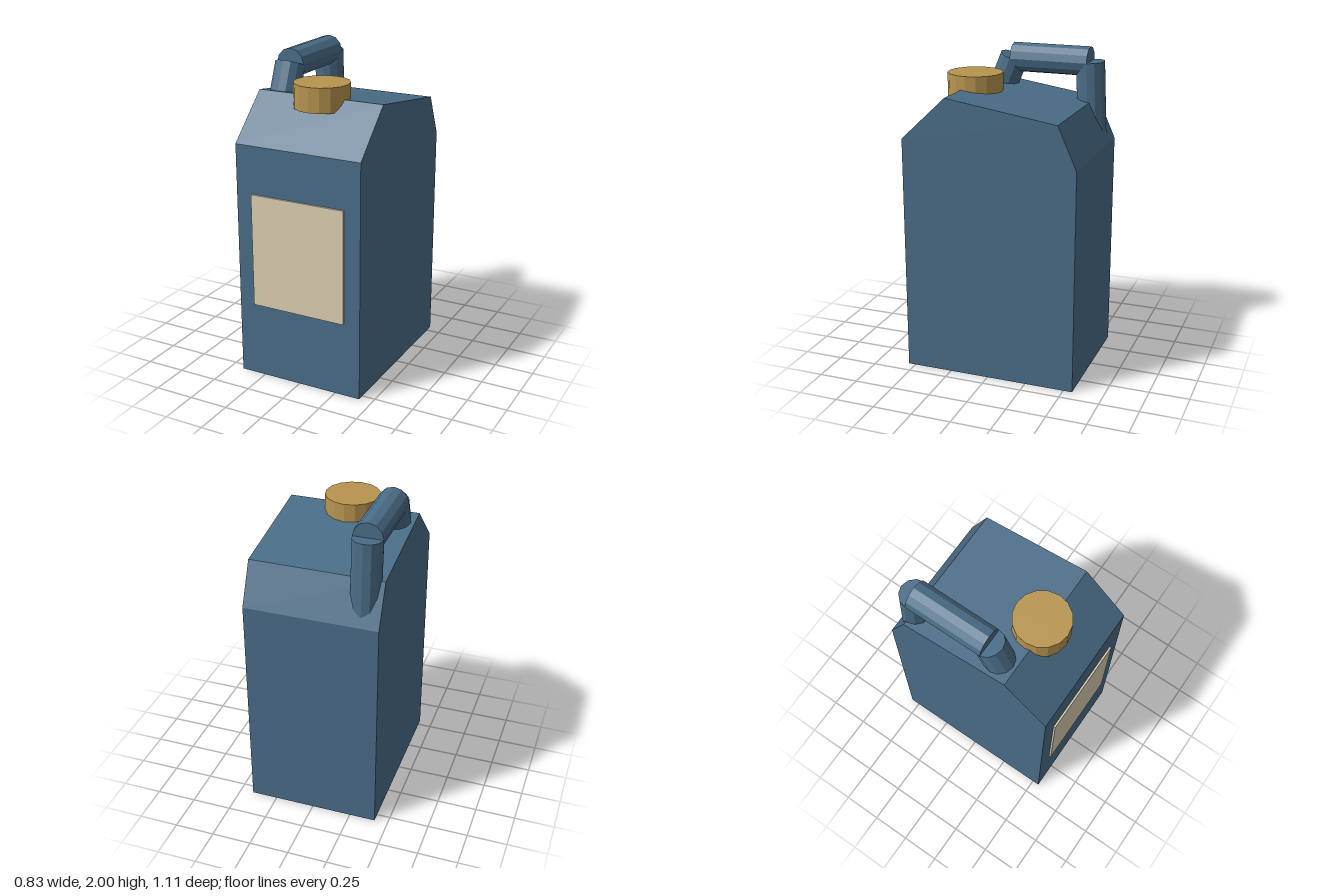
import * as THREE from 'three';

export function createModel() {
  const group = new THREE.Group();
  group.name = 'jerryCan';

  const mat = (name, color) => {
    const m = new THREE.MeshStandardMaterial({ color });
    m.name = name;
    return m;
  };
  const blue = mat('slate blue', 0x4a6d88);
  const brass = mat('brass', 0xb8954f);
  const cream = mat('cream', 0xdcd0b2);

  const add = (name, geometry, material) => {
    const flat = geometry.index ? geometry.toNonIndexed() : geometry;
    flat.computeVertexNormals(); // faceted shading
    const mesh = new THREE.Mesh(flat, material);
    mesh.name = name;
    group.add(mesh);
    return mesh;
  };

  // Body: side profile (z, y) extruded across the width
  const width = 0.83;
  const profile = [
    [0.545, 0], [0.545, 1.5], [0.26, 1.77],
    [-0.44, 1.665], [-0.557, 1.405], [-0.557, 0],
  ];
  const shape = new THREE.Shape(profile.map(([z, y]) => new THREE.Vector2(-z, y)));
  const bodyGeo = new THREE.ExtrudeGeometry(shape, { depth: width, bevelEnabled: false });
  bodyGeo.translate(0, 0, -width / 2).rotateY(Math.PI / 2);
  add('body', bodyGeo, blue);

  // Label plate on the front
  add('label', new THREE.BoxGeometry(0.62, 0.72, 0.016), cream).position.set(0, 0.84, 0.549);

  // Filler cap
  add('cap', new THREE.CylinderGeometry(0.172, 0.172, 0.152, 16), brass).position.set(0, 1.778, 0.23);

  // Handle: three straight bars in the plane x = handleX, given as (y, z) ends
  const handleX = -0.3;
  const bar = (name, [y0, z0], [y1, z1]) => {
    const a = new THREE.Vector3(handleX, y0, z0);
    const b = new THREE.Vector3(handleX, y1, z1);
    const dir = b.clone().sub(a);
    const mesh = add(name, new THREE.CylinderGeometry(0.0925, 0.0925, dir.length(), 12), blue);
    mesh.position.copy(a).add(b).multiplyScalar(0.5);
    mesh.quaternion.setFromUnitVectors(new THREE.Vector3(0, 1, 0), dir.normalize());
  };
  const frontTop = [1.908, 0.084];
  const backTop = [1.908, -0.418];
  bar('handleGrip', backTop, frontTop);
  bar('handleFrontLeg', [1.63, 0.198], frontTop);
  bar('handleBackLeg', [1.42, -0.442], backTop);

  return group;
}
